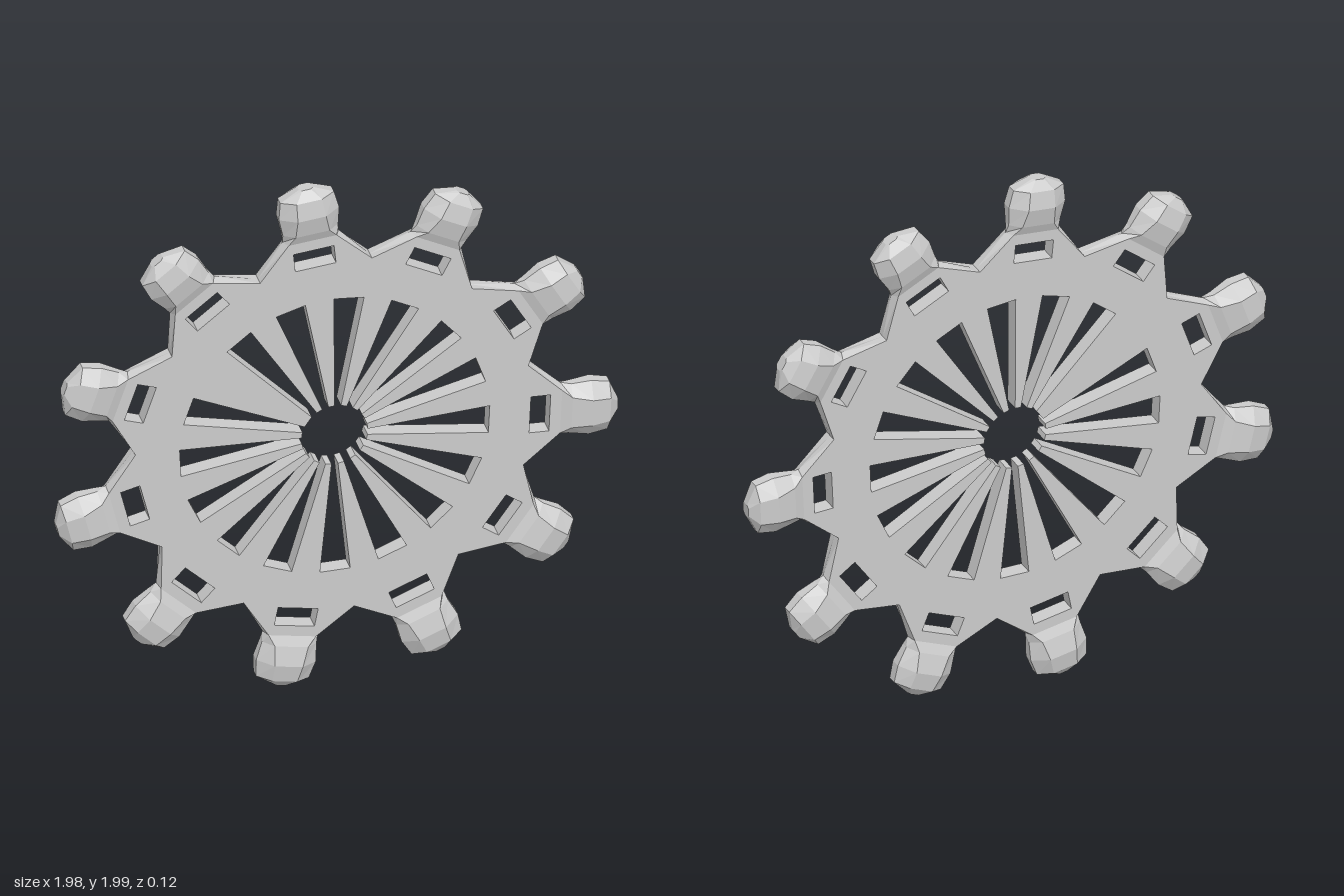
import * as THREE from 'three';

const ARMS = 11, STEP = (2 * Math.PI) / ARMS;
const BASE = THREE.MathUtils.degToRad(-2.6);
const HALF = 0.03; // half thickness of the plate
const material = new THREE.MeshStandardMaterial({ color: 0xcccccc, flatShading: true });

// Point at radius r along angle a, shifted t sideways (counter-clockwise)
const at = (a, r, t = 0) =>
  new THREE.Vector2(r * Math.cos(a) - t * Math.sin(a), r * Math.sin(a) + t * Math.cos(a));

// Wheel plate with tapering arms, one window per arm and tapered spokes
function plateGeometry() {
  const outline = [], windows = [];
  for (let i = 0; i < ARMS; i++) {
    const a = BASE + i * STEP;
    outline.push(at(a - STEP / 2, 0.704), at(a, 0.8, -0.085), at(a, 0.8, 0.085));
    windows.push([at(a, 0.69, -0.072), at(a, 0.76, -0.072), at(a, 0.76, 0.072), at(a, 0.69, 0.072)]);
  }
  // Open centre joined to 16 wedge slots; one spoke is one half pitch wider
  const centre = [], h = THREE.MathUtils.degToRad(5.6);
  for (let k = 0; k < 16; k++) {
    const a = BASE + (k < 7 ? k : k + 0.5) * STEP * (2 / 3);
    centre.push(at(a - h, 0.117), at(a - h, 0.548), at(a + h, 0.548), at(a + h, 0.117));
  }
  const shape = new THREE.Shape(outline);
  for (const hole of [...windows, centre]) shape.holes.push(new THREE.Path(hole));
  const geo = new THREE.ExtrudeGeometry(shape, { depth: 2 * HALF, steps: 2, bevelEnabled: false });
  geo.translate(0, 0, -HALF);

  // Push the middle of each arm edge outwards to form a ridge at the neck
  const pos = geo.attributes.position;
  for (let i = 0; i < pos.count; i++) {
    const x = pos.getX(i), y = pos.getY(i);
    if (Math.abs(pos.getZ(i)) > 0.001 || Math.hypot(x, y) < 0.78) continue;
    const angle = Math.atan2(y, x);
    const a = BASE + Math.round((angle - BASE) / STEP) * STEP;
    const p = at(a, 0.8, Math.sign(Math.sin(angle - a)) * 0.1);
    pos.setXY(i, p.x, p.y);
  }
  geo.computeVertexNormals();
  return geo;
}

// Faceted knob lofted along +y from octagonal sections
function knobGeometry() {
  // radius, half width, half depth at the sides, half width of the face, half depth
  const sections = [
    [0.8, 0.1, 0.0, 0.085, 0.03],
    [0.835, 0.098, 0.014, 0.06, 0.045],
    [0.905, 0.107, 0.02, 0.05, 0.061],
    [0.97, 0.095, 0.018, 0.045, 0.05],
    [1.003, 0.025, 0.012, 0.015, 0.022],
  ];
  const verts = [], index = [];
  for (const [r, w, e, c, z] of sections) {
    const ring = [[w, e], [c, z], [-c, z], [-w, e], [-w, -e], [-c, -z], [c, -z], [w, -e]];
    for (const [x, d] of ring) verts.push(x, r, d);
  }
  const last = (sections.length - 1) * 8;
  for (let j = 0; j < 8; j++) {
    const n = (j + 1) % 8;
    for (let s = 0; s < last; s += 8)
      index.push(s + j, s + 8 + j, s + n, s + n, s + 8 + j, s + 8 + n);
    if (j > 0 && j < 7) index.push(last, last + n, last + j); // end cap
  }
  const geo = new THREE.BufferGeometry();
  geo.setAttribute('position', new THREE.Float32BufferAttribute(verts, 3));
  geo.setIndex(index);
  const flat = geo.toNonIndexed();
  flat.computeVertexNormals();
  return flat;
}

export function createModel() {
  const group = new THREE.Group();
  group.name = 'knobbedWheel';

  const plate = new THREE.Mesh(plateGeometry(), material);
  plate.name = 'spokedPlate';
  group.add(plate);

  const geo = knobGeometry();
  for (let i = 0; i < ARMS; i++) {
    const knob = new THREE.Mesh(geo, material);
    knob.name = `knob${i + 1}`;
    knob.rotation.z = BASE + i * STEP - Math.PI / 2;
    group.add(knob);
  }

  group.position.set(-0.012, 0.993, 0);
  return group;
}
